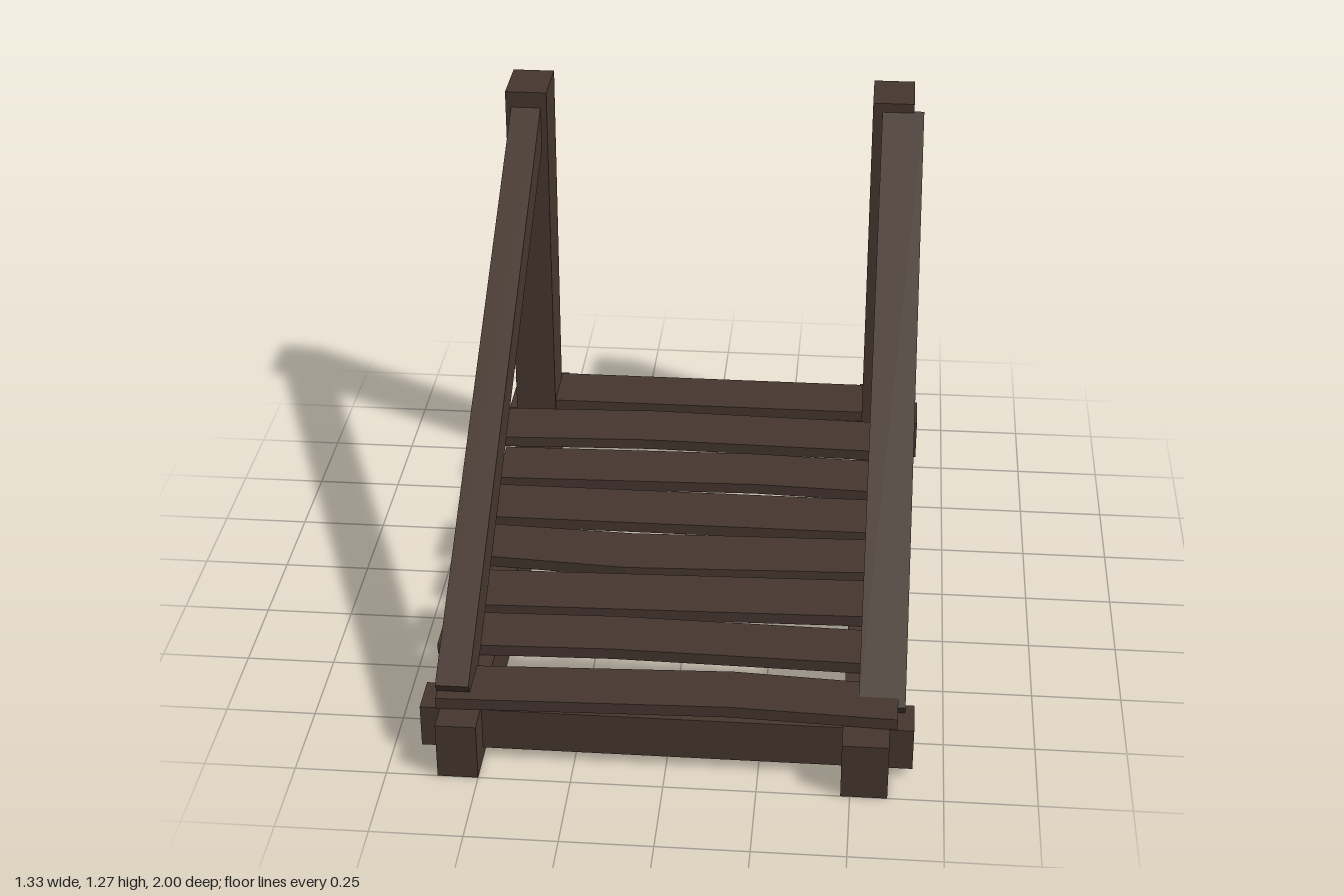
import * as THREE from 'three';

const wood = new THREE.MeshStandardMaterial({ color: 0x46372f });
wood.name = 'dark wood';

const toShape = (pts) => new THREE.Shape(pts.map(([a, b]) => new THREE.Vector2(a, b)));
const extrude = (pts, depth) =>
  new THREE.ExtrudeGeometry(toShape(pts), { depth, bevelEnabled: false });

// Outline in (z, y), swept from x0 to x1
function sideProfile(pts, x0, x1) {
  const g = extrude(pts.map(([z, y]) => [-z, y]), x1 - x0);
  return g.rotateY(Math.PI / 2).translate(x0, 0, 0);
}

// Outline in (x, z), swept from y0 to y1
function topProfile(pts, y0, y1) {
  const g = extrude(pts.map(([x, z]) => [x, -z]), y1 - y0);
  return g.rotateX(-Math.PI / 2).translate(0, y0, 0);
}

function block(x0, x1, y0, y1, z0, z1) {
  return new THREE.BoxGeometry(x1 - x0, y1 - y0, z1 - z0)
    .translate((x0 + x1) / 2, (y0 + y1) / 2, (z0 + z1) / 2);
}

export function createModel() {
  const model = new THREE.Group();
  model.name = 'footbridge';
  const add = (name, geometry) => {
    const mesh = new THREE.Mesh(geometry, wood);
    mesh.name = name;
    model.add(mesh);
  };

  // Long rails under the deck
  add('rightRail', block(-0.61, -0.5, 0, 0.165, -1, 1));
  add('leftRail', block(0.475, 0.6, 0, 0.165, -1, 1));

  // Cross beams poking out past the rails
  add('frontBeam', block(-0.668, 0.665, 0.03, 0.155, 0.79, 0.905));
  add('backBeam', block(-0.668, 0.665, 0.03, 0.155, -0.905, -0.765));

  // Deck planks: each row is [x, back z, front z] stations from one end to the other
  const planks = [
    [[-0.64, -0.93, -0.745], [0.61, -0.93, -0.745]],
    [[-0.655, -0.68, -0.49], [-0.18, -0.7, -0.51], [0.62, -0.68, -0.495]],
    [[-0.628, -0.43, -0.24], [0.17, -0.45, -0.263], [0.62, -0.43, -0.245]],
    [[-0.658, -0.2, -0.01], [0.62, -0.2, -0.01]],
    [[-0.628, 0.03, 0.208], [-0.18, 0.05, 0.238], [0.62, 0.025, 0.205]],
    [[-0.658, 0.285, 0.468], [0.62, 0.248, 0.435]],
    [[-0.658, 0.507, 0.67], [-0.17, 0.492, 0.655], [0.62, 0.507, 0.67]],
    [[-0.62, 0.768, 0.925], [0.17, 0.735, 0.9], [0.62, 0.76, 0.92]],
  ];
  planks.forEach((rows, i) => {
    const back = rows.map(([x, z]) => [x, z]);
    const front = rows.map(([x, , z]) => [x, z]).reverse();
    add(`plank${i + 1}`, topProfile([...back, ...front], 0.167, 0.2));
  });

  // Posts, slightly wider at the top
  const post = [[-0.74, 0.165], [-0.9, 0.165], [-0.925, 1.275], [-0.74, 1.275]];
  add('rightPost', sideProfile(post, -0.64, -0.513));
  add('leftPost', sideProfile(post, 0.485, 0.61));

  // Slanting braces from the posts to the front of the rails
  add('rightBrace', sideProfile(
    [[-0.74, 1.225], [-0.8, 1.125], [0.845, 0.125], [0.905, 0.228]], -0.623, -0.532));
  add('leftBrace', sideProfile(
    [[-0.745, 1.25], [-0.81, 1.14], [0.775, 0.08], [0.845, 0.185]], 0.514, 0.64));

  return model;
}
